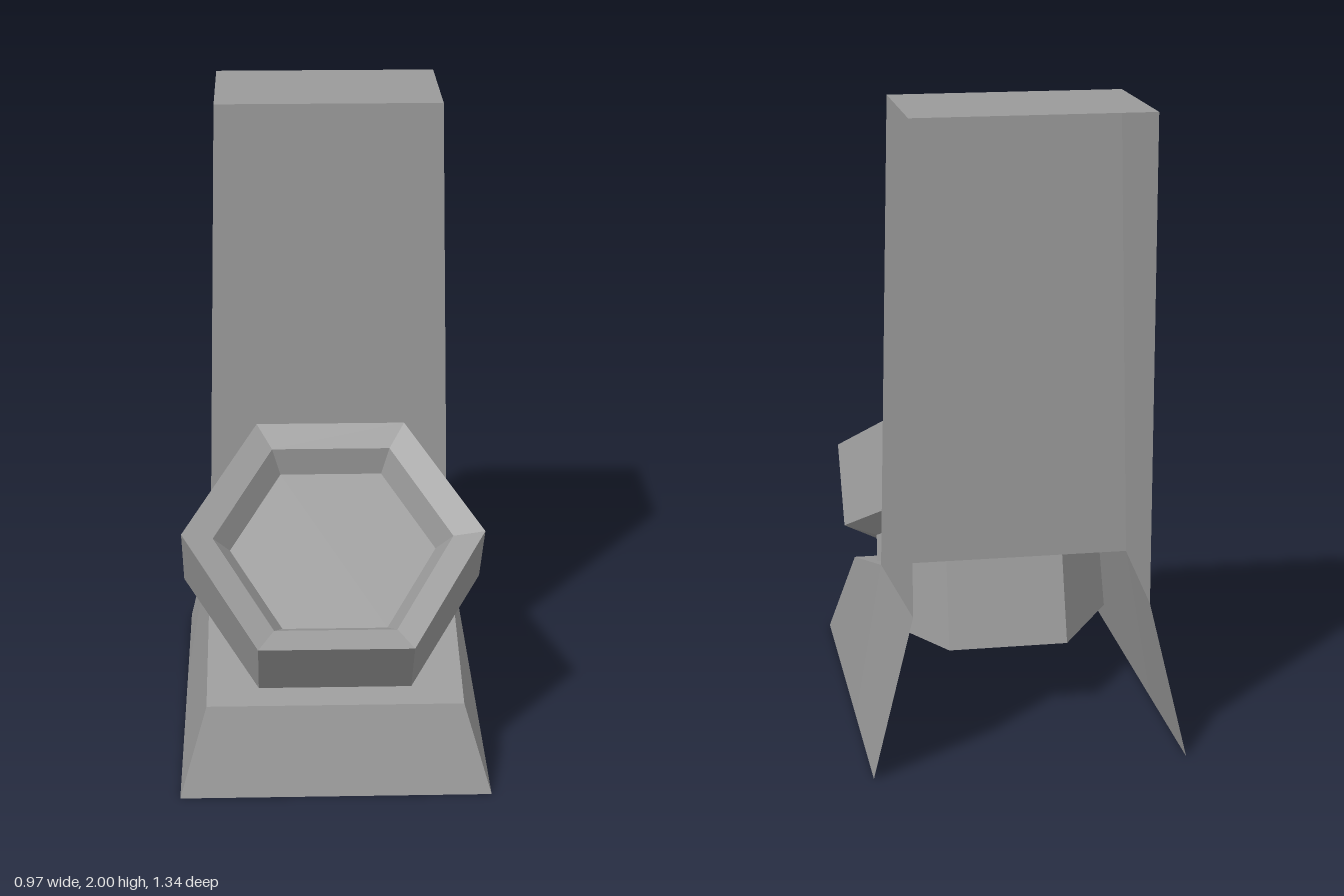
import * as THREE from 'three';

const material = new THREE.MeshStandardMaterial({ color: 0x9a9a9a, side: THREE.DoubleSide });

// Thin sheet from four-cornered panels, each shaded evenly with one normal
function panels(name, quads) {
  const pos = [], normals = [];
  for (const [a, b, c, d] of quads) {
    pos.push(...a, ...b, ...c, ...a, ...c, ...d);
    const [va, vb, vc, vd] = [a, b, c, d].map((p) => new THREE.Vector3(...p));
    const n = vc.sub(va).cross(vd.sub(vb)).normalize();
    for (let i = 0; i < 6; i++) normals.push(n.x, n.y, n.z);
  }
  const geometry = new THREE.BufferGeometry();
  geometry.setAttribute('position', new THREE.Float32BufferAttribute(pos, 3));
  geometry.setAttribute('normal', new THREE.Float32BufferAttribute(normals, 3));
  const mesh = new THREE.Mesh(geometry, material);
  mesh.name = name;
  return mesh;
}

// Tilted hexagon given its front and back edges as [z, y] and its half width
function hexRing([fz, fy], [bz, by], r) {
  const mz = (fz + bz) / 2, my = (fy + by) / 2;
  return [
    [r / 2, fy, fz], [r, my, mz], [r / 2, by, bz],
    [-r / 2, by, bz], [-r, my, mz], [-r / 2, fy, fz],
  ];
}

// Walls joining successive hexagons, with an optional floor in the last one
function hexLoft(name, rings, capped) {
  const quads = [];
  for (let k = 0; k + 1 < rings.length; k++) {
    const lo = rings[k], hi = rings[k + 1];
    for (let i = 0; i < 6; i++) {
      const j = (i + 1) % 6;
      quads.push([lo[i], lo[j], hi[j], hi[i]]);
    }
  }
  if (capped) {
    const e = rings[rings.length - 1];
    quads.push([e[0], e[1], e[2], e[3]], [e[0], e[3], e[4], e[5]]);
  }
  return panels(name, quads);
}

// Panel spanning left to right between two [halfWidth, y, z] levels
const span = ([x0, y0, z0], [x1, y1, z1]) =>
  [[-x0, y0, z0], [x0, y0, z0], [x1, y1, z1], [-x1, y1, z1]];

// A +x side panel and its mirror image
const bothSides = (quad) => [quad, quad.map(([x, y, z]) => [-x, y, z]).reverse()];

export function createModel() {
  const group = new THREE.Group();
  const back = -0.668, face = -0.187;

  // Half-section points on the +x side; the back edge of the column is upright
  const topFront = [0.361, 2, face], topBack = [0.361, 2, back];
  const waistFront = [0.397, 0.51, face], waistBack = [0.361, 0.51, back];
  const footBack = [0.485, 0, back], footMid = [0.485, 0, face];
  const footFront = [0.485, 0, 0.638], lip = [0.4, 0.278, 0.56];

  // Column, open at the back
  group.add(panels('column', [
    span(waistFront, topFront),
    span(topFront, topBack),
    ...bothSides([waistFront, waistBack, topBack, topFront]),
  ]));

  // Flared base, open at the back and underneath
  group.add(panels('base', [
    span(footFront, lip),
    span(lip, waistFront),
    ...bothSides([footMid, footBack, waistBack, waistFront]),
    ...bothSides([footFront, footMid, waistFront, lip]),
  ]));

  // Hexagonal neck passing through the sloping top of the base
  const neckTop = hexRing([0.41, 0.335], [-0.143, 0.667], 0.372);
  group.add(hexLoft('neck', [hexRing([0.38, 0.235], [-0.26, 0.235], 0.382), neckTop], false));

  // Tilted hexagonal head with a bevelled rim and a recessed floor
  group.add(hexLoft('head', [
    neckTop,
    hexRing([0.513, 0.316], [-0.187, 0.745], 0.475),
    hexRing([0.668, 0.524], [-0.008, 0.995], 0.475),
    hexRing([0.578, 0.545], [0.04, 0.926], 0.377),
    hexRing([0.494, 0.51], [0.03, 0.834], 0.325),
  ], true));

  return group;
}
